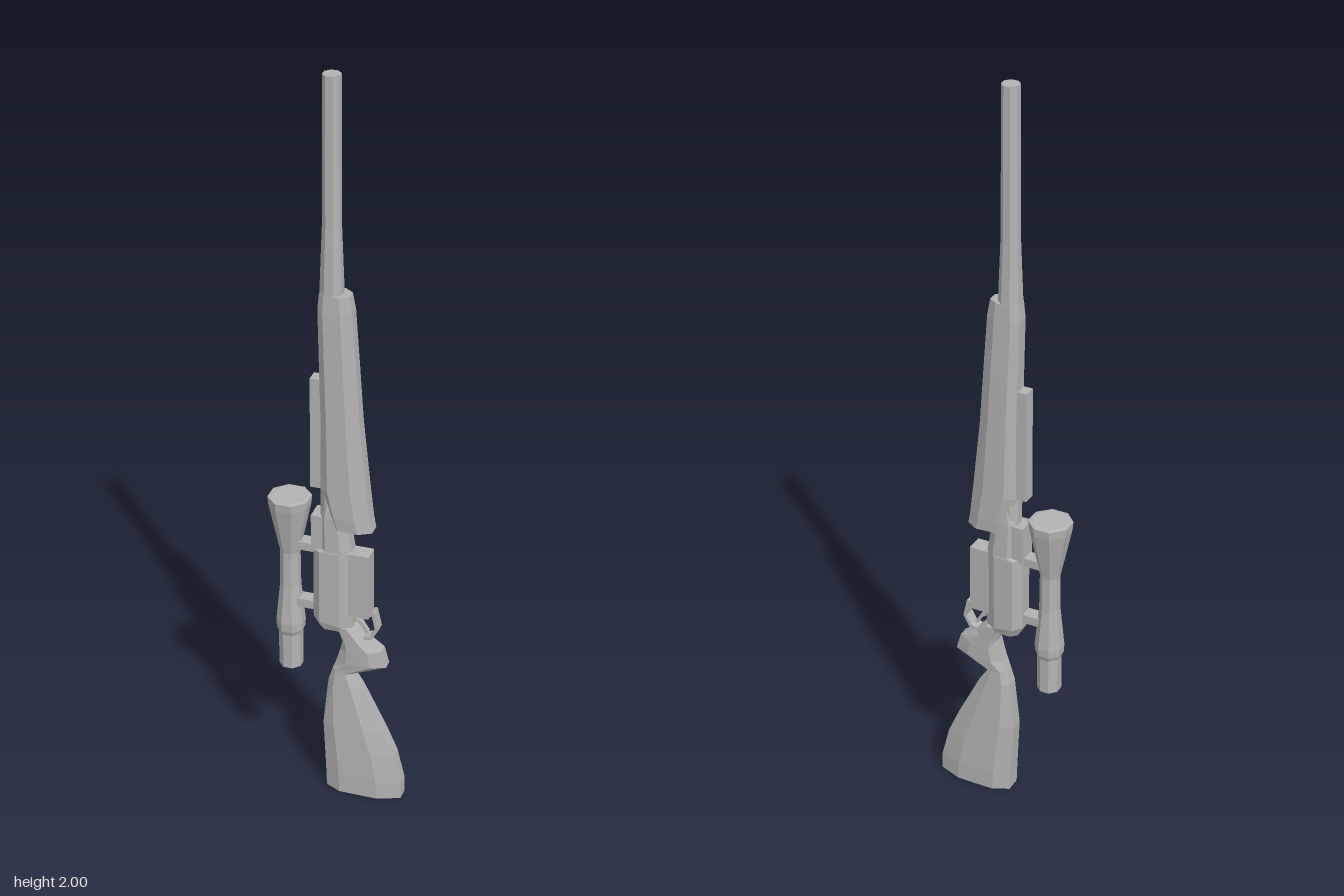
import * as THREE from 'three';

const gray = new THREE.MeshStandardMaterial({ color: 0xb2b2b2, flatShading: true });
gray.name = 'gray';

// Eight-sided loft. Each section: [left x, left y, right x, right y, half depth]
function loft(sections) {
  const ring = [[1, 0.45], [1, -0.45], [0.7, -1], [0.2, -1], [0, -0.5], [0, 0.5], [0.2, 1], [0.7, 1]];
  const n = ring.length, pos = [], idx = [];
  for (const [x0, y0, x1, y1, w] of sections)
    for (const [t, s] of ring) pos.push(x0 + (x1 - x0) * t, y0 + (y1 - y0) * t, w * s);
  for (let k = 0; k < sections.length - 1; k++)
    for (let i = 0; i < n; i++) {
      const a = k * n + i, b = k * n + (i + 1) % n;
      idx.push(a, b, b + n, a, b + n, a + n);
    }
  const top = (sections.length - 1) * n;
  for (let i = 1; i < n - 1; i++) idx.push(0, i + 1, i, top, top + i, top + i + 1);
  const g = new THREE.BufferGeometry();
  g.setAttribute('position', new THREE.Float32BufferAttribute(pos, 3));
  g.setIndex(idx);
  const flat = g.toNonIndexed();
  flat.computeVertexNormals();
  return flat;
}

// Octagonal turned part with flats facing the axes. Profile: [apothem, y]
function octagon(profile) {
  const k = 1 / Math.cos(Math.PI / 8);
  const pts = profile.map(([r, y]) => new THREE.Vector2(r * k, y));
  return new THREE.LatheGeometry(pts, 8, Math.PI / 8);
}

export function createModel() {
  const model = new THREE.Group();
  const add = (name, geometry, x = 0, y = 0, z = 0) => {
    const m = new THREE.Mesh(geometry, gray);
    m.name = name;
    m.position.set(x, y, z);
    model.add(m);
    return m;
  };
  const box = (name, x0, x1, y0, y1, halfZ) =>
    add(name, new THREE.BoxGeometry(x1 - x0, y1 - y0, halfZ * 2), (x0 + x1) / 2, (y0 + y1) / 2);

  // Butt, wrist and grip
  add('stock', loft([
    [-0.025, 0, 0.178, 0, 0.041],
    [-0.027, 0.055, 0.177, 0.045, 0.041],
    [-0.031, 0.13, 0.157, 0.13, 0.038],
    [-0.035, 0.2, 0.127, 0.2, 0.035],
    [-0.022, 0.335, 0.066, 0.325, 0.029],
    [-0.01, 0.375, 0.042, 0.362, 0.027],
    [0, 0.4, 0.133, 0.402, 0.03],
    [0.01, 0.435, 0.12, 0.448, 0.031],
    [0.016, 0.46, 0.075, 0.48, 0.031],
    [0, 0.51, 0.045, 0.51, 0.033],
  ]));

  // Receiver
  add('receiver', loft([
    [-0.045, 0.497, 0.038, 0.497, 0.03],
    [-0.06, 0.525, 0.043, 0.51, 0.037],
    [-0.06, 0.73, 0.043, 0.73, 0.037],
    [-0.04, 0.735, 0.04, 0.735, 0.036],
    [-0.04, 0.83, 0.025, 0.83, 0.034],
    [-0.03, 0.87, 0.02, 0.87, 0.03],
  ]));
  box('magazine', 0.03, 0.087, 0.545, 0.73, 0.023);

  // Fore-end
  add('foreStock', loft([
    [-0.012, 0.805, 0.094, 0.8, 0.038],
    [-0.022, 0.84, 0.088, 0.83, 0.04],
    [-0.04, 0.905, 0.077, 0.93, 0.039],
    [-0.04, 1.1, 0.06, 1.1, 0.036],
    [-0.044, 1.25, 0.05, 1.25, 0.034],
    [-0.048, 1.4, 0.04, 1.4, 0.031],
    [-0.044, 1.445, 0.032, 1.445, 0.029],
  ]));

  // Barrel and the parts on its upper side
  add('barrel', octagon([[0, 0.8], [0.027, 0.8], [0.028, 1.445], [0.022, 1.62], [0.021, 2], [0, 2]]), -0.016);
  box('rearSight', -0.068, -0.03, 0.905, 1.21, 0.017);
  box('receiverBridge', -0.064, -0.03, 0.725, 0.828, 0.026);

  // Scope with two mounts
  add('scope', octagon([
    [0, 0.355], [0.029, 0.355], [0.029, 0.455], [0.034, 0.468], [0.035, 0.49],
    [0.025, 0.6], [0.024, 0.7], [0.05, 0.835], [0.052, 0.858], [0.043, 0.86], [0, 0.86],
  ]), -0.128);
  box('frontScopeMount', -0.12, -0.04, 0.715, 0.738, 0.018);
  box('rearScopeMount', -0.12, -0.04, 0.543, 0.567, 0.018);

  // Trigger guard strap and trigger
  const strap = (name, points, halfWidth, halfDepth) => {
    for (let i = 0; i < points.length - 1; i++) {
      const [x0, y0] = points[i], [x1, y1] = points[i + 1];
      const dx = x1 - x0, dy = y1 - y0;
      const m = add(name, new THREE.BoxGeometry(halfWidth * 2, Math.hypot(dx, dy) + halfWidth, halfDepth * 2),
        (x0 + x1) / 2, (y0 + y1) / 2);
      m.rotation.z = Math.atan2(-dx, dy);
    }
  };
  strap('triggerGuard', [[0.08, 0.548], [0.097, 0.558], [0.107, 0.512], [0.092, 0.485], [0.07, 0.478]], 0.004, 0.016);
  strap('trigger', [[0.04, 0.535], [0.062, 0.52], [0.078, 0.495]], 0.004, 0.007);
  return model;
}
